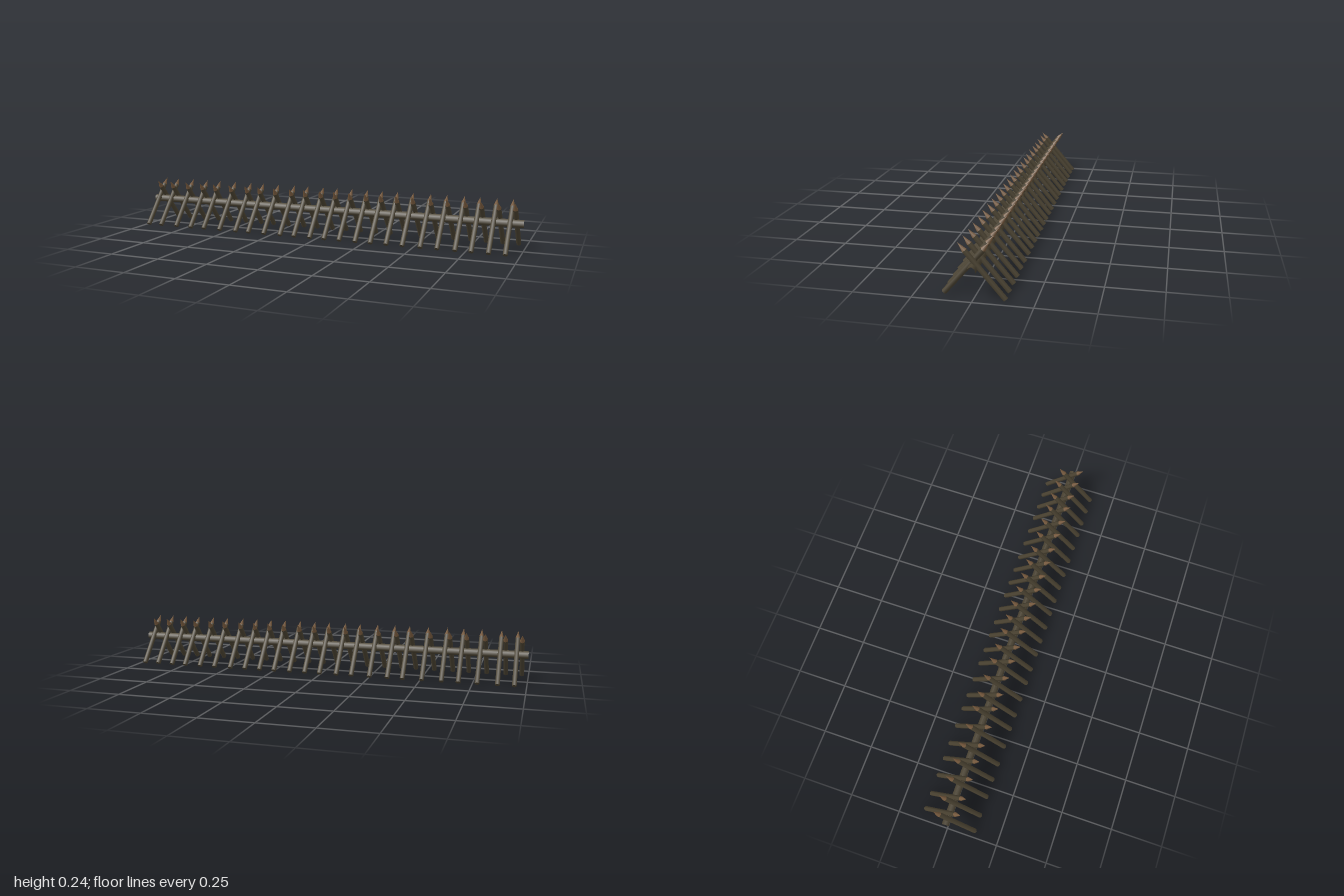
import * as THREE from 'three';

export function createModel() {
  const model = new THREE.Group();
  model.name = 'stakeBarrier';
  const bark = new THREE.MeshStandardMaterial({ color: 0x4a4231 });
  bark.name = 'dark bark';
  const cutWood = new THREE.MeshStandardMaterial({ color: 0x76593d });
  cutWood.name = 'cut wood';

  const add = (parent, name, geometry, material) => {
    const mesh = new THREE.Mesh(geometry, material);
    mesh.name = name;
    parent.add(mesh);
    return mesh;
  };

  // Six-sided rail along x, an edge pointing straight down
  const railY = 0.132, railR = 0.019;
  const railGeo = new THREE.CylinderGeometry(railR, railR, 2, 6, 1, true);
  railGeo.rotateY(Math.PI / 2).rotateZ(Math.PI / 2);
  add(model, 'rail', railGeo, bark).position.y = railY;

  // Hollow rail ends, closed by discs that face inward
  for (const side of [-1, 1]) {
    const end = new THREE.CircleGeometry(railR, 6, Math.PI / 2);
    end.rotateY(-side * Math.PI / 2);
    add(model, 'railEnd', end, cutWood).position.set(side, railY, 0);
  }

  // Stake shaft and sharpened tip, standing on their base
  const shaftLength = 0.256, tipLength = 0.043, radius = 0.0122;
  const shaftGeo = new THREE.CylinderGeometry(radius, radius, shaftLength, 6);
  shaftGeo.translate(0, shaftLength / 2, 0);
  const tipGeo = new THREE.CylinderGeometry(0, radius, tipLength, 6, 1, true);
  tipGeo.translate(0, shaftLength + tipLength / 2, 0);
  const lean = Math.atan2(0.193, 0.228);

  const addStake = (x, side) => {
    const stake = new THREE.Group();
    stake.name = side > 0 ? 'frontStake' : 'backStake';
    add(stake, 'shaft', shaftGeo, bark);
    add(stake, 'tip', tipGeo, cutWood);
    stake.position.set(x, 0.008, side * 0.1305);
    stake.rotation.x = -side * lean;
    model.add(stake);
  };

  // Crossed pairs, unevenly spaced along the rail
  const pairs = [
    -0.957, -0.88, -0.786, -0.698, -0.618, -0.524, -0.43, -0.356,
    -0.267, -0.176, -0.099, -0.013, 0.064, 0.144, 0.227, 0.305,
    0.385, 0.465, 0.553, 0.634, 0.719, 0.794, 0.874, 0.95,
  ];
  for (const x of pairs) {
    addStake(x - 0.012, 1);
    addStake(x + 0.012, -1);
  }
  return model;
}
